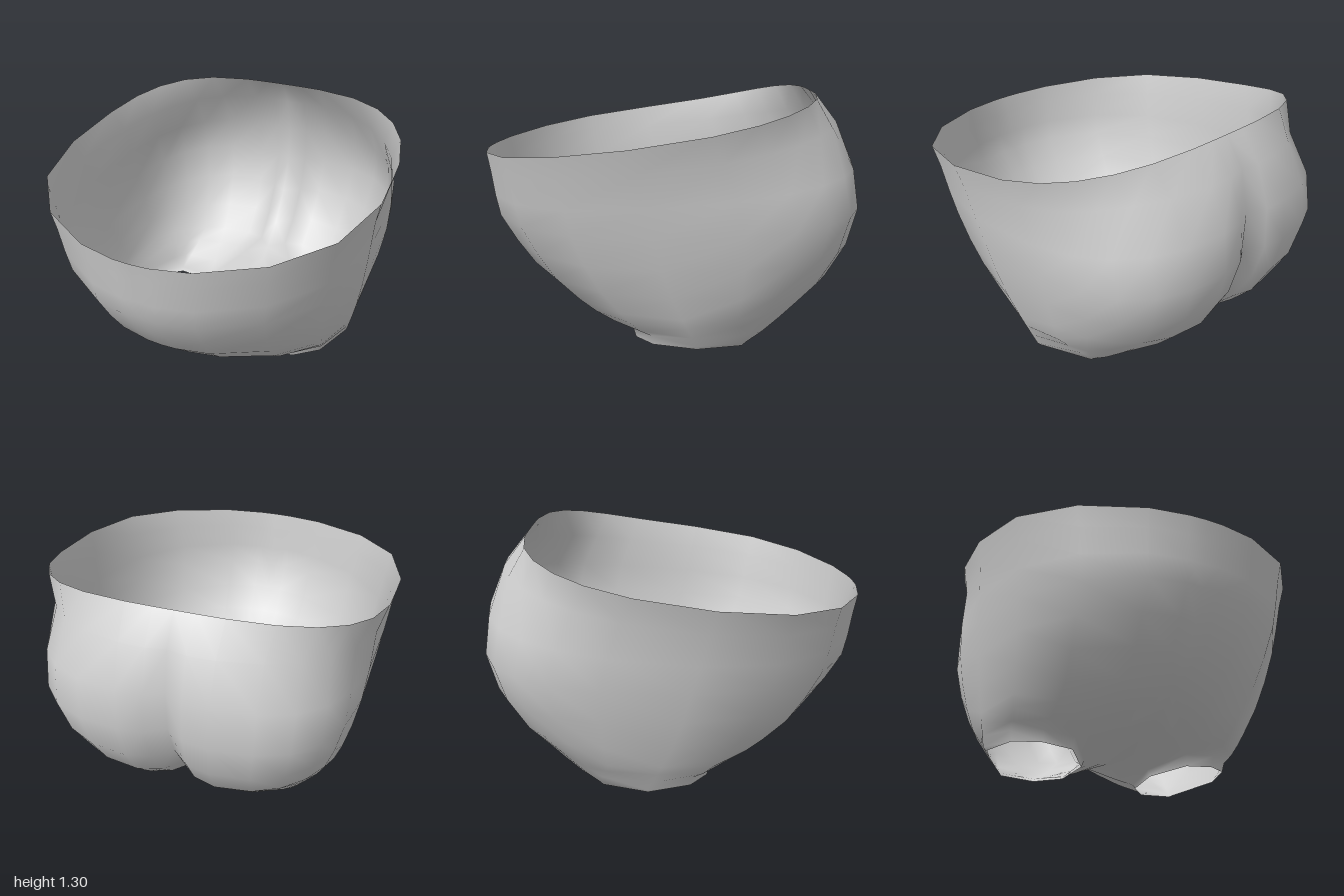
import * as THREE from 'three';
import { mergeVertices } from 'three/addons/utils/BufferGeometryUtils.js';

// Half sections from rim downwards:
// [y front, y back, z front, z back, half width, z of widest point, front crease, back cleft, back squareness]
const SECTIONS = [
  [0.99, 1.305, 1.0, -0.77, 0.90, 0.17, 0, 0, 3.2],
  [0.89, 1.16, 0.985, -0.895, 0.875, 0.14, 0.005, 0.025, 2.6],
  [0.76, 0.95, 0.97, -0.98, 0.855, 0.10, 0.012, 0.06, 3.2],
  [0.65, 0.74, 0.95, -1.005, 0.835, 0.06, 0.02, 0.085, 3.5],
  [0.51, 0.54, 0.865, -0.97, 0.81, 0.02, 0.01, 0.12, 3.1],
  [0.38, 0.36, 0.77, -0.885, 0.78, -0.03, 0, 0.15, 2.7],
  [0.26, 0.235, 0.63, -0.78, 0.75, -0.08, 0, 0.17, 2.4],
];
// Directions of the section points, in degrees from front to back
const DIRECTIONS = [0, 6, 19, 41, 64, 90, 112, 124, 133, 142, 152, 165, 173.5, 180];

// Corners of the leg opening
const LEG_CENTRE = new THREE.Vector3(0.445, 0, -0.11);
const LEG_CORNERS = [
  [0.34, 0.01, -0.39], [0.53, 0.02, -0.39], [0.69, 0.07, -0.15], [0.62, 0.065, 0.07],
  [0.49, 0.05, 0.165], [0.33, 0.035, 0.165], [0.205, 0.01, -0.02], [0.225, 0, -0.24],
].map((p) => new THREE.Vector3(...p));

// One section from the front centre line round the +x side to the back centre line
function halfSection([yF, yB, zF, zB, w, zMid, crease, cleft, square], row) {
  return DIRECTIONS.map((degrees, j) => {
    const t = THREE.MathUtils.degToRad(degrees);
    const s = Math.sin(t), c = Math.cos(t);
    const n = degrees < 90 ? 2 : square;
    const r = Math.pow(Math.abs(s) ** n + Math.abs(c) ** n, -1 / n);
    const x = j === 0 || j === DIRECTIONS.length - 1 ? 0 : w * r * s;
    let z = zMid + r * c * (degrees < 90 ? zF - zMid : zMid - zB);
    const k = THREE.MathUtils.clamp((zF - z) / (zF - zB), 0, 1);
    const y = yF + (yB - yF) * k - 0.035 * (1 - row / 6) * Math.sin(Math.PI * k ** 1.7);
    const groove = Math.exp(-x / (0.04 + 0.012 * row));
    z += degrees < 90 ? -crease * groove : cleft * groove;
    return new THREE.Vector3(x, y, z);
  });
}

// Corner of the leg opening that lies towards p
function legPoint(p) {
  const dx = p.x - LEG_CENTRE.x, dz = p.z - LEG_CENTRE.z;
  const facing = (q) => {
    const qx = q.x - LEG_CENTRE.x, qz = q.z - LEG_CENTRE.z;
    return (dx * qx + dz * qz) / Math.hypot(qx, qz);
  };
  return LEG_CORNERS.reduce((best, q) => (facing(q) > facing(best) ? q : best));
}

// Loops that narrow from the lowest section and centre seam to the leg opening
function bottomLoops(section) {
  const seam = [[0.19, -0.54], [0.15, -0.42], [0.11, -0.28], [0.085, -0.14], [0.08, 0], [0.085, 0.14],
    [0.11, 0.3], [0.145, 0.42], [0.185, 0.52]].map(([y, z]) => new THREE.Vector3(0, y, z));
  const outer = [...section, ...seam];
  const hole = outer.map(legPoint);
  const frontness = hole.map((h) => THREE.MathUtils.smoothstep(h.z, -0.15, 0.16));
  const collar = hole.map((h, j) => {
    const p = h.clone().sub(LEG_CENTRE).multiplyScalar(1.06).add(LEG_CENTRE);
    p.y = h.y + 0.02 + 0.04 * frontness[j];
    return p;
  });
  const blend = (k) => outer.map((o, j) => {
    const p = collar[j].clone().lerp(o, k);
    const back = THREE.MathUtils.smoothstep(-o.z, 0.45, 0.75);
    p.y = collar[j].y + (o.y - collar[j].y) * Math.pow(k, 1.05 + 0.5 * frontness[j] + 0.15 * back);
    return p;
  });
  return [outer, blend(0.7), blend(0.35), collar, hole];
}

function shellGeometry() {
  const positions = [];
  const triangle = (a, b, c) => {
    for (const p of [a, b, c]) positions.push(p.x, p.y, p.z);
    for (const p of [a, c, b]) positions.push(p.x === 0 ? 0 : -p.x, p.y, p.z);
  };
  const strip = (upper, lower, closed) => {
    const n = upper.length;
    for (let j = 0; j < (closed ? n : n - 1); j++) {
      const k = (j + 1) % n;
      if (!upper[j].equals(upper[k])) triangle(upper[j], lower[j], upper[k]);
      if (!lower[j].equals(lower[k])) triangle(upper[k], lower[j], lower[k]);
    }
  };
  const sections = SECTIONS.map(halfSection);
  for (let i = 0; i < sections.length - 1; i++) strip(sections[i], sections[i + 1], false);
  const loops = bottomLoops(sections[sections.length - 1]);
  for (let i = 0; i < loops.length - 1; i++) strip(loops[i], loops[i + 1], true);

  const raw = new THREE.BufferGeometry();
  raw.setAttribute('position', new THREE.Float32BufferAttribute(positions, 3));
  const geometry = mergeVertices(raw, 1e-4);
  geometry.computeVertexNormals();
  return geometry;
}

export function createModel() {
  const group = new THREE.Group();
  group.name = 'shortsShell';
  const grey = new THREE.MeshStandardMaterial({ color: 0xcccccc, side: THREE.DoubleSide });
  grey.name = 'light grey';

  // Open shell with a waist rim and two leg openings
  const shell = new THREE.Mesh(shellGeometry(), grey);
  shell.name = 'shell';
  group.add(shell);
  return group;
}
